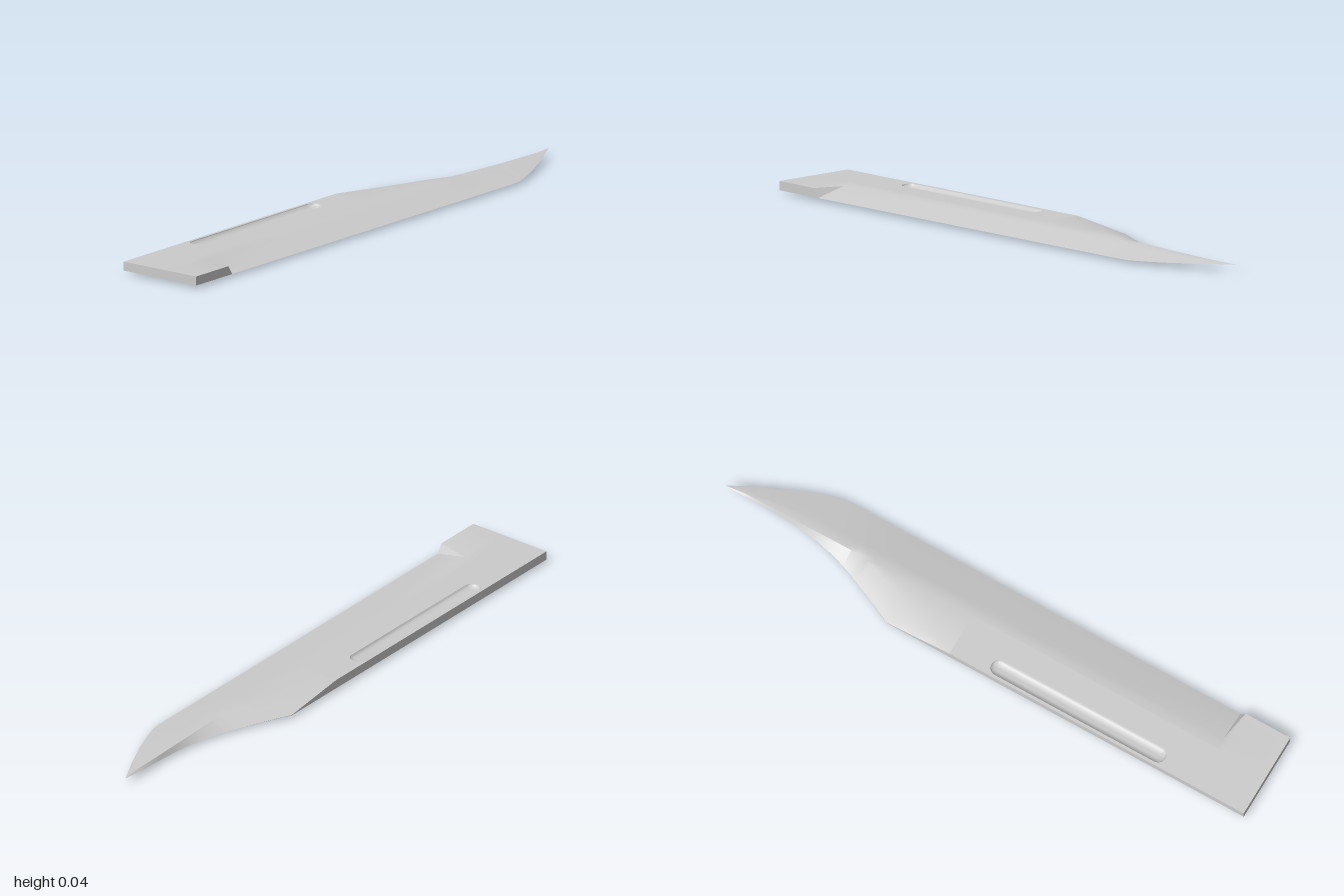
import * as THREE from 'three';
import { toCreasedNormals } from 'three/addons/utils/BufferGeometryUtils.js';

const TOP = 0.04, BOTTOM = 0.01, BACK = -0.15, EDGE = 0.148, FLAT_END = 0.09;
const lerp = THREE.MathUtils.lerp;

// Piecewise value along the blade from [x, value] keys
function along(keys, x) {
  if (x <= keys[0][0]) return keys[0][1];
  for (let i = 1; i < keys.length; i++) {
    const [x0, v0] = keys[i - 1], [x1, v1] = keys[i];
    if (x <= x1) return lerp(v0, v1, (x - x0) / (x1 - x0));
  }
  return keys[keys.length - 1][1];
}

// Outlines in plan
const edgeZ = [[0.63, EDGE], [0.66, 0.145], [0.7, 0.133], [0.75, 0.115], [0.8, 0.094], [0.9, 0.047], [1, -0.006]];
const backZ = [[0.32, BACK], [0.4, -0.112], [0.5, -0.068], [0.55, -0.049], [0.6, -0.034], [0.65, -0.022],
  [0.7, -0.014], [0.75, -0.009], [0.8, -0.007], [1, -0.008]];
const ridgeZ = [[0.75, 0.02], [0.9, 0.011], [1, -0.007]];
const breakZ = [[FLAT_END, BACK], [0.32, -0.06], [0.5, 0]];
// Heights
const ridgeY = [[0.4, TOP], [0.46, 0.0385], [0.55, 0.0355], [0.7, 0.0305], [0.85, 0.027], [1, 0.025]];
const keelY = [[0.36, BOTTOM], [0.45, 0.006], [0.55, 0.0022], [0.65, 0], [0.7, 0.0008], [0.8, 0.0065], [0.9, 0.0155], [1, 0.0248]];
const backY = [[0.68, BOTTOM], [0.8, 0.0125], [0.9, 0.017], [1, 0.0248]];
const spineTopY = [[FLAT_END, TOP], [0.32, 0.0115]];

// Closed cross-section, from the cutting edge over the top to the back and underneath
function section(x) {
  const ez = along(edgeZ, x), bz = along(backZ, x), rz = along(ridgeZ, x), ry = along(ridgeY, x);
  const ey = lerp(BOTTOM, 0.0248, (EDGE - ez) / (EDGE + 0.006));
  const by = along(backY, x);
  const full = x < -0.825; // unground heel of the blade
  const inner = Math.max(bz, rz - Math.min(0.02, Math.max(0, ez - rz) * 0.2));
  const breakAt = Math.max(bz, Math.min(inner, along(breakZ, x)));
  const outerZ = lerp(rz, ez, 0.16);
  const spineTop = x < 0.32 ? along(spineTopY, x) : by + 0.0015 * Math.max(0, (0.5 - x) / 0.18);
  const pts = [
    [ez, ey], [ez, full ? TOP : ey],
    [outerZ, full ? TOP : lerp(ry, ey, 0.16)],
    [rz, full ? TOP : ry - 0.0012 * (1 - Math.max(0, x))],
    [inner, ry], [breakAt, ry],
    [bz, spineTop], [bz, by],
    [rz, along(keelY, x)], [ez, ey],
  ];
  return pts.map(([z, y]) => new THREE.Vector3(x, y, z));
}

// Skin a grid of points, dropping collapsed triangles
function skin(rows, skip = () => false, cap = null) {
  const pos = [], t = new THREE.Triangle();
  const tri = (a, b, c) => {
    t.set(a, b, c);
    if (t.getArea() > 1e-9) for (const p of [a, b, c]) pos.push(p.x, p.y, p.z);
  };
  for (let i = 0; i + 1 < rows.length; i++) {
    for (let j = 0; j + 1 < rows[i].length; j++) {
      if (skip(i, j)) continue;
      const a = rows[i][j], b = rows[i + 1][j], c = rows[i + 1][j + 1], d = rows[i][j + 1];
      tri(a, b, c);
      tri(a, c, d);
    }
  }
  if (cap) for (let j = 1; j + 1 < cap.length; j++) tri(cap[0], cap[j], cap[j + 1]);
  const g = new THREE.BufferGeometry();
  g.setAttribute('position', new THREE.Float32BufferAttribute(pos, 3));
  return toCreasedNormals(g, THREE.MathUtils.degToRad(28));
}

export function createModel() {
  const group = new THREE.Group();
  const material = new THREE.MeshStandardMaterial({ color: 0xcccccc, side: THREE.DoubleSide });
  const add = (name, geometry) => {
    const mesh = new THREE.Mesh(geometry, material);
    mesh.name = name;
    group.add(mesh);
  };

  // Blade body with bevel, clipped back and swept tip
  const stations = [-1, -0.835, -0.815, -0.4, FLAT_END, 0.17, 0.25, 0.32];
  for (let x = 0.34; x < 1.001; x += 0.02) stations.push(Math.min(x, 1));
  const rows = stations.map(section);
  add('blade', skin(rows, (i, j) => j === 4 && stations[i + 1] <= FLAT_END, rows[0]));

  // Groove outline: a slot whose ends are half circles
  const cx = -0.367, cz = -0.1125, half = 0.2945, radius = 0.0275, N = 12;
  const slot = (r, y) => {
    const pts = [];
    for (const side of [1, -1]) {
      for (let k = 0; k <= N; k++) {
        const a = Math.PI * (k / N - 0.5) + (side < 0 ? Math.PI : 0);
        pts.push(new THREE.Vector3(cx + side * half + r * Math.cos(a), y, cz - r * Math.sin(a)));
      }
    }
    pts.push(pts[0].clone());
    return pts;
  };

  // Flat top around the groove
  const flat = new THREE.Shape([[-1, 0], [FLAT_END, 0], [FLAT_END, -BACK], [-1, -BACK]].map(p => new THREE.Vector2(...p)));
  flat.holes.push(new THREE.Path(slot(radius, 0).slice(0, -1).reverse().map(p => new THREE.Vector2(p.x, -p.z))));
  add('flatTop', new THREE.ShapeGeometry(flat).rotateX(-Math.PI / 2).translate(0, TOP, 0));

  // Rounded groove sunk into the flat
  const rings = [];
  for (let k = 0; k <= 6; k++) {
    const a = (k / 6) * Math.PI / 2;
    rings.push(slot(radius * Math.cos(a), TOP - 0.012 * Math.sin(a)));
  }
  add('groove', skin(rings[0].map((_, t) => rings.map(ring => ring[t]))));

  return group;
}
